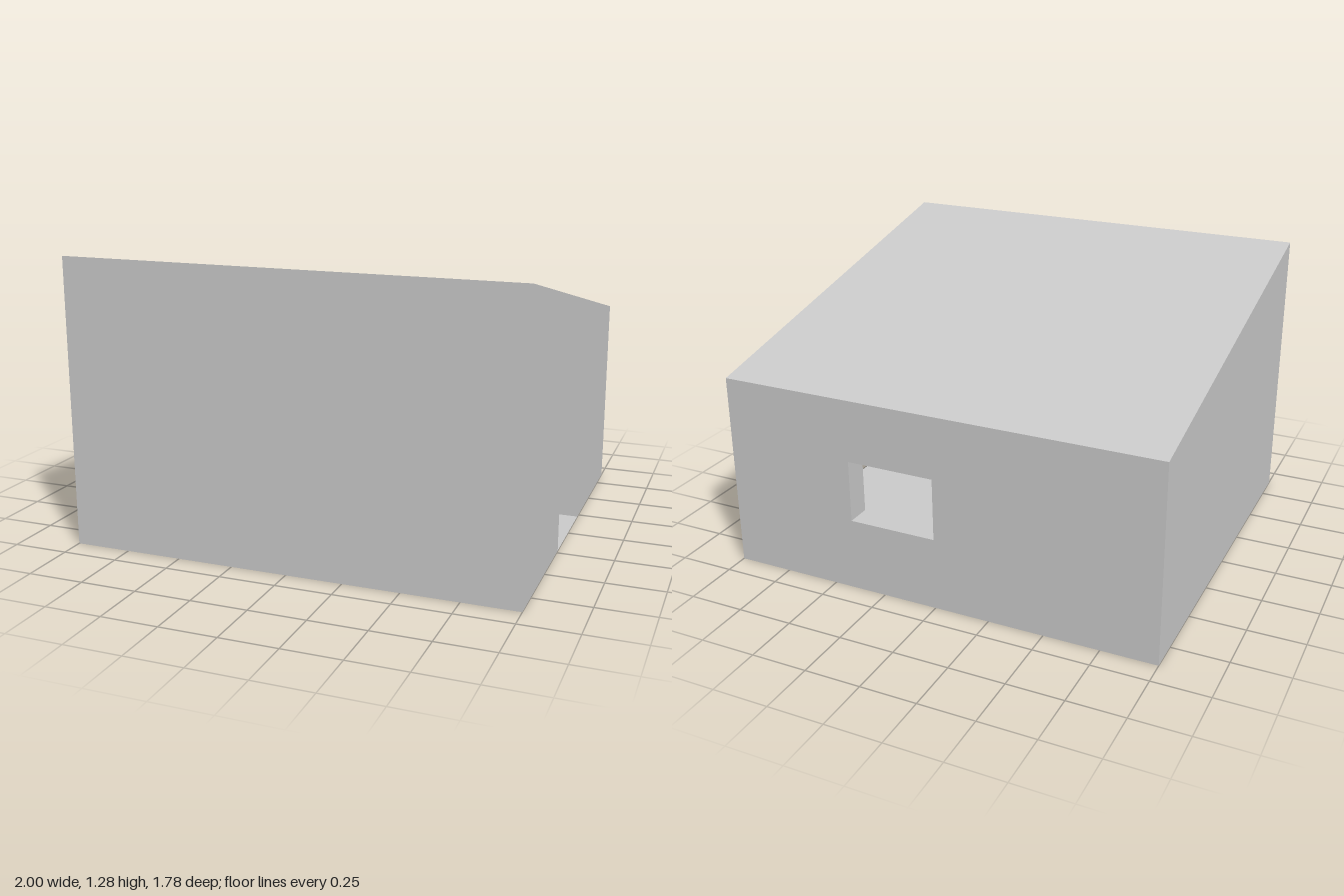
import * as THREE from 'three';

const W = 1, D = 0.89;              // half width and half depth
const HIGH = 1.28, LOW = 0.89;      // eaves at front and back
const T = 0.11, CEILING = 0.78;     // wall thickness, ceiling height

const material = new THREE.MeshStandardMaterial({ color: 0xcccccc, flatShading: true });

const outline = (points) => new THREE.Shape(points.map(([x, y]) => new THREE.Vector2(x, y)));

// Extruded wall; its inner face is pulled in at the ends and top so corners mitre.
function wall(name, shape, half, distance, angle) {
  const geometry = new THREE.ExtrudeGeometry(shape, { depth: T, bevelEnabled: false });
  const p = geometry.attributes.position;
  for (let i = 0; i < p.count; i++) {
    if (p.getZ(i) > T / 2) continue;
    p.setX(i, THREE.MathUtils.clamp(p.getX(i), T - half, half - T));
    p.setY(i, Math.min(p.getY(i), CEILING));
  }
  geometry.computeVertexNormals();
  const mesh = new THREE.Mesh(geometry, material);
  mesh.name = name;
  mesh.rotation.y = angle;
  mesh.position.set(Math.sin(angle), 0, Math.cos(angle)).multiplyScalar(distance - T);
  return mesh;
}

export function createModel() {
  const group = new THREE.Group();
  group.name = 'shed';

  // Tall front wall
  const front = outline([[-W, 0], [W, 0], [W, HIGH], [-W, HIGH]]);
  group.add(wall('frontWall', front, W, D, 0));

  // Low back wall with a window
  const back = outline([[-W, 0], [W, 0], [W, LOW], [-W, LOW]]);
  back.holes.push(outline([[-0.4, 0.33], [-0.4, 0.61], [0, 0.61], [0, 0.33]]));
  group.add(wall('backWall', back, W, D, Math.PI));

  // Door side: sloped top, doorway cut up from the ground
  const door = outline([
    [-D, 0], [-0.225, 0], [-0.225, 0.72], [0.225, 0.72], [0.225, 0],
    [D, 0], [D, LOW], [-D, HIGH],
  ]);
  group.add(wall('doorWall', door, D, W, Math.PI / 2));

  // Plain side wall with sloped top
  const plain = outline([[-D, 0], [D, 0], [D, HIGH], [-D, LOW]]);
  group.add(wall('plainWall', plain, D, W, -Math.PI / 2));

  // Roof: sloped top over a flat ceiling that sits inside the walls
  const roofGeometry = new THREE.BoxGeometry(2, 2, 2);
  const p = roofGeometry.attributes.position;
  for (let i = 0; i < p.count; i++) {
    const x = p.getX(i), z = p.getZ(i);
    if (p.getY(i) > 0) p.setXYZ(i, x * W, z > 0 ? HIGH : LOW, z * D);
    else p.setXYZ(i, x * (W - T), CEILING, z * (D - T));
  }
  roofGeometry.computeVertexNormals();
  const roof = new THREE.Mesh(roofGeometry, material);
  roof.name = 'roof';
  group.add(roof);

  // Thin floor at ground level
  const floorMaterial = material.clone();
  floorMaterial.side = THREE.DoubleSide;
  const floor = new THREE.Mesh(new THREE.PlaneGeometry(2 * W, 2 * D), floorMaterial);
  floor.rotation.x = -Math.PI / 2;
  floor.name = 'floor';
  group.add(floor);

  return group;
}
